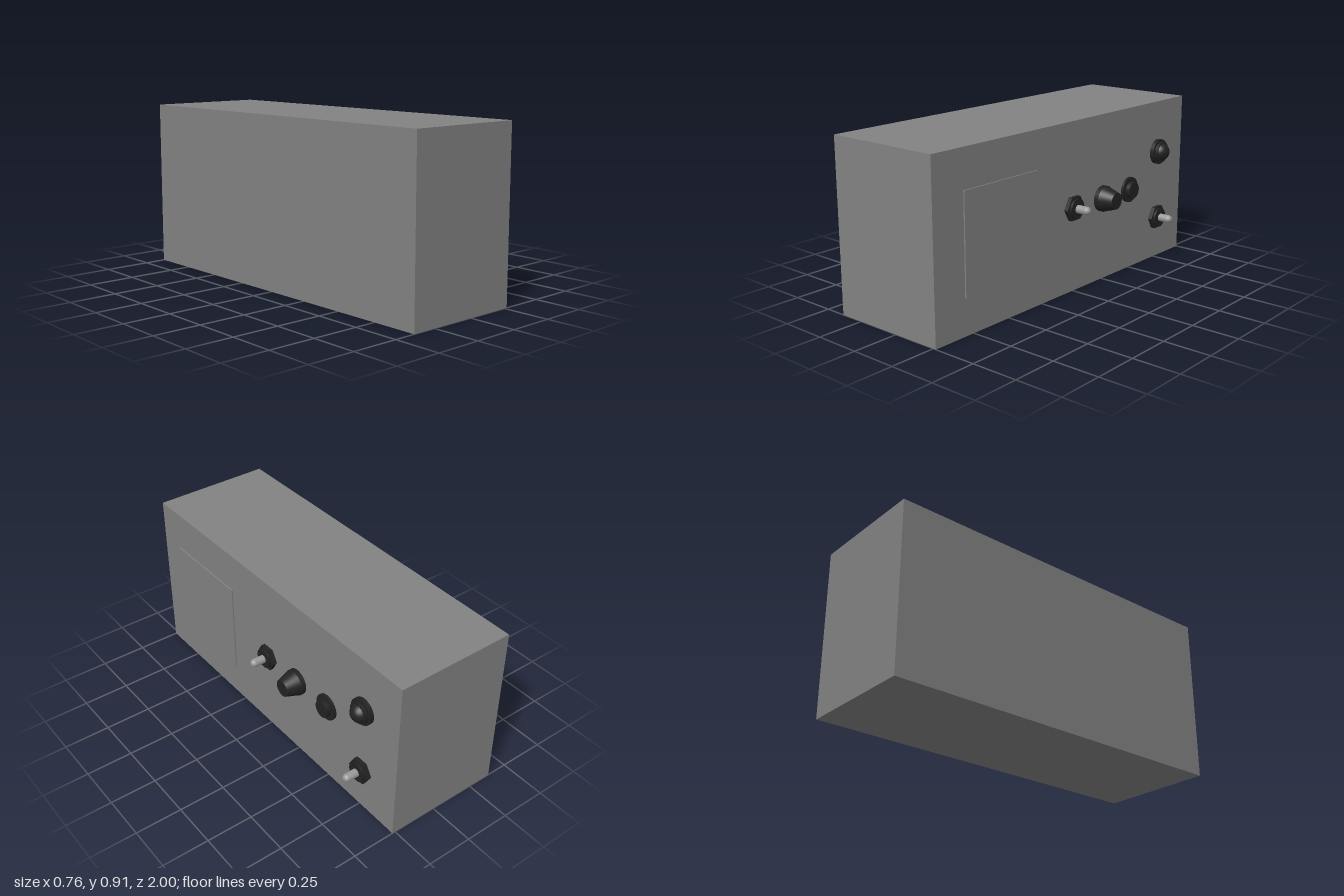
import * as THREE from 'three';

const mat = (name, color) => {
  const m = new THREE.MeshStandardMaterial({ color });
  m.name = name;
  return m;
};

export function createModel() {
  const casingGrey = mat('casingGrey', 0x828282);
  const controlBlack = mat('controlBlack', 0x222222);
  const leverSteel = mat('leverSteel', 0x999999);
  const face = 0.267; // x of the control panel

  const model = new THREE.Group();
  model.name = 'controlBox';

  const add = (parent, name, geometry, material, x, y, z) => {
    const mesh = new THREE.Mesh(geometry, material);
    mesh.name = name;
    mesh.position.set(x, y, z);
    parent.add(mesh);
    return mesh;
  };

  // A control's own y axis points out of the panel
  const control = (name, y, z) => {
    const group = new THREE.Group();
    group.name = name;
    group.position.set(face, y, z);
    group.rotation.z = -Math.PI / 2;
    model.add(group);
    return group;
  };

  // Disc, ring or cone between two heights above the panel
  const turned = (parent, name, r0, r1, h0, h1, sides = 32) => add(parent, name,
    new THREE.CylinderGeometry(r1, r0, h1 - h0, sides), controlBlack, 0, (h0 + h1) / 2, 0);

  // Casing and raised screen
  add(model, 'casing', new THREE.BoxGeometry(0.65, 0.907, 2), casingGrey, -0.058, 0.4535, 0);
  add(model, 'screen', new THREE.BoxGeometry(0.007, 0.514, 0.514), casingGrey, 0.2835, 0.455, 0.56);

  // Toggle switches
  for (const [name, y, z] of [['frontToggle', 0.454, 0.007], ['rearToggle', 0.24, -0.757]]) {
    const toggle = control(name, y, z);
    const nut = turned(toggle, 'hexNut', 0.07, 0.07, 0, 0.023, 6);
    nut.geometry = nut.geometry.toNonIndexed();
    nut.geometry.computeVertexNormals();
    turned(toggle, 'collar', 0.052, 0.052, 0.023, 0.036);
    add(toggle, 'lever', new THREE.CapsuleGeometry(0.022, 0.07, 8, 24), leverSteel, 0, 0.056, 0);
  }

  // Tapered knob
  const knob = control('knob', 0.454, -0.243);
  turned(knob, 'knobSkirt', 0.07, 0.07, 0, 0.024);
  turned(knob, 'knobGrip', 0.068, 0.045, 0.024, 0.098);

  // Flat push button
  const button = control('pushButton', 0.454, -0.485);
  turned(button, 'buttonBezel', 0.07, 0.07, 0, 0.014);
  turned(button, 'buttonCap', 0.045, 0.045, 0.014, 0.039);

  // Domed lamp
  const lamp = control('domeLamp', 0.622, -0.757);
  turned(lamp, 'lampBezel', 0.07, 0.07, 0, 0.023);
  turned(lamp, 'lampCollar', 0.056, 0.056, 0.023, 0.04);
  add(lamp, 'lampDome', new THREE.SphereGeometry(0.052, 32, 12, 0, Math.PI * 2, 0, Math.PI / 2),
    controlBlack, 0, 0.022, 0);

  return model;
}
